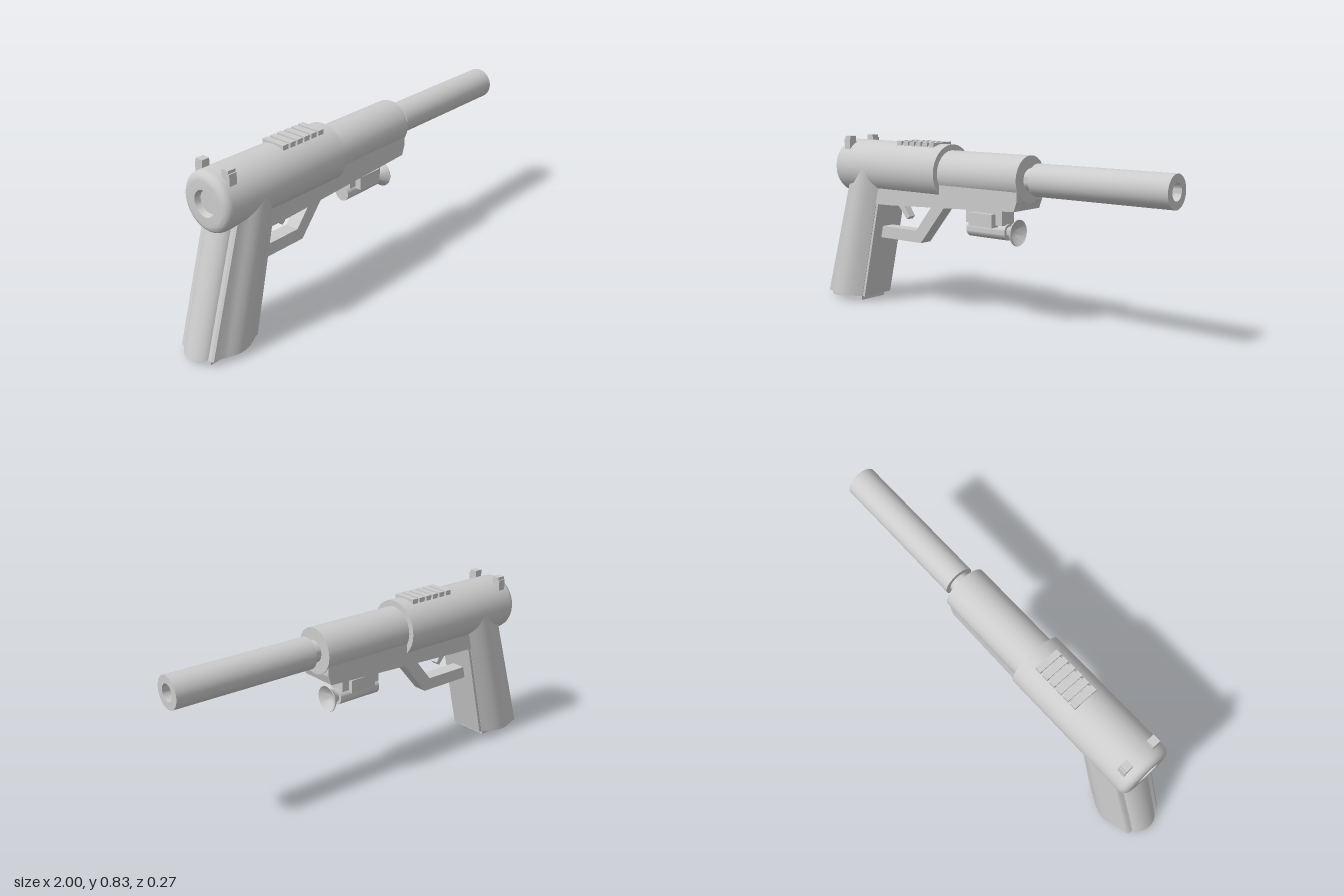
import * as THREE from 'three';
import { toCreasedNormals } from 'three/addons/utils/BufferGeometryUtils.js';

const mat = new THREE.MeshStandardMaterial({ color: 0xcccccc });
const AXIS_Y = 0.68;

export function createModel() {
  const model = new THREE.Group();

  const add = (name, geometry, x = 0, y = 0, z = 0) => {
    const mesh = new THREE.Mesh(geometry, mat);
    mesh.name = name;
    mesh.position.set(x, y, z);
    model.add(mesh);
    return mesh;
  };

  // Box given by its limits on each axis
  const box = (name, x0, x1, y0, y1, z0, z1) =>
    add(name, new THREE.BoxGeometry(x1 - x0, y1 - y0, z1 - z0), (x0 + x1) / 2, (y0 + y1) / 2, (z0 + z1) / 2);

  // Profile of [x, radius] pairs turned around a lengthwise axis
  const turned = (name, profile, y = AXIS_Y, segments = 32) => {
    const points = profile.map(([x, r]) => new THREE.Vector2(r, x));
    const g = new THREE.LatheGeometry(points, segments).rotateZ(-Math.PI / 2);
    return add(name, toCreasedNormals(g, 0.6), 0, y, 0);
  };

  // Side outline extruded across z, centred
  const plate = (name, outline, width) => {
    const shape = new THREE.Shape(outline.map(([x, y]) => new THREE.Vector2(x, y)));
    const g = new THREE.ExtrudeGeometry(shape, { depth: width, bevelEnabled: false });
    return add(name, g.translate(0, 0, -width / 2));
  };

  // Half cross-section of [u, z] mirrored, then lofted along the raked, tapering grip
  const gripLoft = (name, half) => {
    const mirrored = half.slice().reverse().map(([u, z]) => [u, -z]).filter(([, z]) => z !== 0);
    const shape = new THREE.Shape([...half, ...mirrored].map(([u, z]) => new THREE.Vector2(u, z)));
    const g = new THREE.ExtrudeGeometry(shape, { depth: 1, bevelEnabled: false });
    const p = g.attributes.position;
    for (let i = 0; i < p.count; i++) {
      const u = p.getX(i), z = -p.getY(i), t = p.getZ(i);
      const back = -1 + 0.205 * t, front = -0.697 + 0.149 * t;
      p.setXYZ(i, back + (front - back) * u, 0.025 + 0.655 * t, z);
    }
    g.computeVertexNormals();
    return add(name, toCreasedNormals(g, 0.5));
  };

  // Rear body with rounded end and recessed cap
  const rear = [[-0.835, 0], [-0.835, 0.05], [-0.86, 0.058], [-0.86, 0.098]];
  for (let i = 1; i <= 5; i++) {
    const a = (i / 5) * Math.PI / 2;
    rear.push([-0.825 - 0.035 * Math.cos(a), 0.098 + 0.035 * Math.sin(a)]);
  }
  turned('rearBody', [...rear, [-0.18, 0.133], [-0.18, 0]]);

  // Front body, neck and hollow barrel
  turned('frontBody', [[-0.2, 0], [-0.2, 0.106], [0.28, 0.106], [0.28, 0]], AXIS_Y, 24);
  turned('barrelNeck', [[0.26, 0.05], [0.33, 0.05]]);
  turned('barrel', [[0.32, 0], [0.32, 0.073], [1, 0.073], [1, 0.038], [0.5, 0.038], [0.5, 0]]);

  // Lower frame with a sloping underside
  plate('lowerFrame', [[-0.66, 0.505], [-0.5, 0.508], [0.26, 0.543], [0.275, 0.585], [0.275, 0.68], [-0.66, 0.68]], 0.186);

  // Grip: core with rounded back, and swelling side panels
  const core = [];
  for (let i = 0; i <= 6; i++) {
    const a = (i / 6) * Math.PI / 2;
    core.push([0.2 * (1 - Math.cos(a)), 0.075 * Math.sin(a)]);
  }
  gripLoft('gripCore', [...core, [0.2, 0.09], [1, 0.09]]);
  const panel = [[0.14, 0.09], [0.16, 0.1], [0.3, 0.108]];
  for (let i = 1; i <= 10; i++) {
    const t = i / 10;
    panel.push([0.3 + 0.65 * t, 0.092 + 0.016 * (1 - t) + 0.033 * Math.sin(Math.PI * t)]);
  }
  gripLoft('gripPanels', panel);
  box('gripBasePlate', -0.95, -0.73, 0, 0.03, -0.078, 0.078);

  // Trigger and guard
  plate('triggerGuard', [[-0.64, 0.33], [-0.355, 0.33], [-0.19, 0.53], [-0.27, 0.53], [-0.385, 0.388], [-0.62, 0.388]], 0.068);
  plate('trigger', [[-0.535, 0.52], [-0.46, 0.435], [-0.443, 0.45], [-0.495, 0.525]], 0.04);

  // Ribbed top rail
  box('railBase', -0.475, -0.245, 0.78, 0.811, -0.05, 0.05);
  for (let i = 0; i < 6; i++) {
    const x = -0.48 + i * 0.0418;
    box('railRib', x, x + 0.03, 0.785, 0.82, -0.06, 0.06);
  }

  // Paired rear sights
  for (const s of [-1, 1]) {
    const [a, b] = [s * 0.057, s * 0.094].sort((m, n) => m - n);
    const [c, d] = [s * 0.07, s * 0.1].sort((m, n) => m - n);
    box('rearSight', -0.81, -0.772, 0.765, 0.832, a, b);
    box('rearSightFoot', -0.81, -0.772, 0.765, 0.818, c, d);
  }

  // Underslung lamp with mount, clamp and flared lens
  box('lampMount', -0.055, 0.158, 0.465, 0.56, -0.04, 0.045);
  box('lampClamp', -0.015, 0.12, 0.455, 0.516, -0.06, 0.074);
  turned('lampBody', [[-0.06, 0], [-0.06, 0.038], [0.165, 0.038], [0.165, 0]], 0.433);
  turned('lampLens', [[0.155, 0], [0.155, 0.022], [0.175, 0.026], [0.213, 0.061], [0.217, 0.06], [0.19, 0.025], [0.183, 0]], 0.435);

  return model;
}
